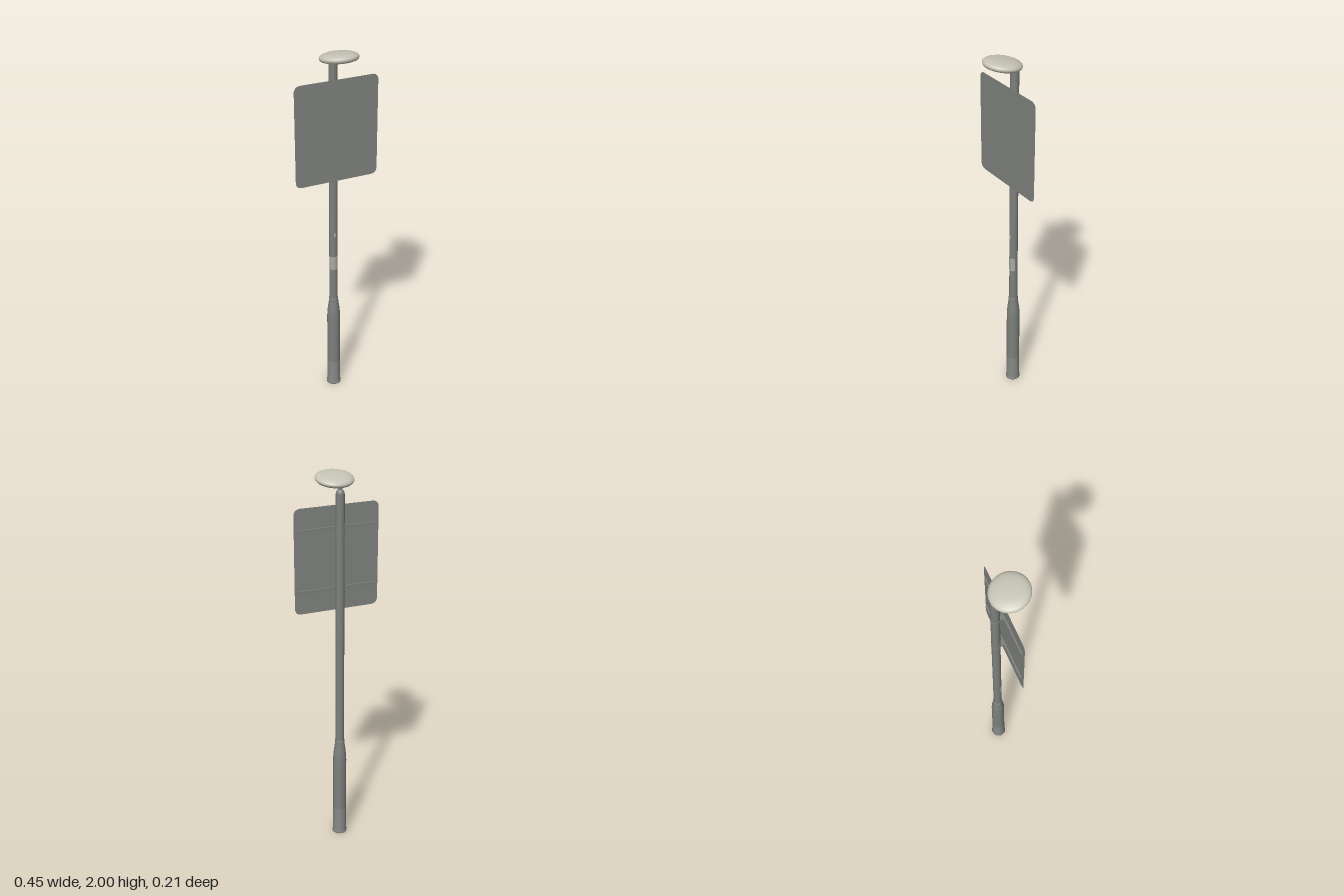
import * as THREE from 'three';

const mat = (name, color, side = THREE.FrontSide) => {
  const m = new THREE.MeshStandardMaterial({ color, side });
  m.name = name;
  return m;
};

export function createModel() {
  const model = new THREE.Group();
  const POLE_Z = -0.065;
  const steel = mat('grey steel', 0x7d807c);
  const baseGrey = mat('light grey base', 0x868985);
  const signGrey = mat('sign grey', 0x7f827d, THREE.DoubleSide);
  const lampPale = mat('pale lamp shell', 0xc6c3b6);
  const lensDark = mat('dark lamp lens', 0x5c5e57);
  const labelPale = mat('pale label', 0xa9aaa3, THREE.DoubleSide);

  const add = (name, geometry, material, x = 0, y = 0, z = 0, parent = model) => {
    const mesh = new THREE.Mesh(geometry, material);
    mesh.name = name;
    mesh.position.set(x, y, z);
    parent.add(mesh);
    return mesh;
  };
  const lathe = (pts, n = 32) =>
    new THREE.LatheGeometry(pts.map(([r, y]) => new THREE.Vector2(r, y)), n);

  // Post: flared foot, wide sleeve, tapered shoulder, slim pole with domed tip
  add('foot', lathe([[0, 0], [0.04, 0], [0.04, 0.004], [0.0365, 0.022], [0.0355, 0.155]]), baseGrey, 0, 0, POLE_Z);
  add('sleeve', lathe([[0.0355, 0.155], [0.0355, 0.45], [0.0345, 0.48], [0.0315, 0.51],
    [0.0265, 0.545], [0.0255, 0.56], [0.0255, 0.572], [0.022, 0.574]]), steel, 0, 0, POLE_Z);
  add('pole', lathe([[0.0225, 0.56], [0.022, 1.915], [0.0195, 1.926], [0.014, 1.934], [0.009, 1.938], [0, 1.938]]), steel, 0, 0, POLE_Z);

  // Sign sheet with rounded corners
  const w = 0.225, h = 0.2725, r = 0.032;
  const s = new THREE.Shape();
  s.moveTo(-w + r, -h);
  s.absarc(w - r, -h + r, r, -Math.PI / 2, 0);
  s.absarc(w - r, h - r, r, 0, Math.PI / 2);
  s.absarc(-w + r, h - r, r, Math.PI / 2, Math.PI);
  s.absarc(-w + r, -h + r, r, Math.PI, Math.PI * 1.5);
  add('signPanel', new THREE.ShapeGeometry(s, 8), signGrey, 0, 1.5775, -0.0205);

  // Two rails, each clamped to the pole by a band
  for (const y of [1.735, 1.42]) {
    const mount = new THREE.Group();
    mount.name = 'signMount';
    mount.position.y = y;
    model.add(mount);
    add('rail', new THREE.BoxGeometry(0.41, 0.018, 0.008), steel, 0, 0, -0.025, mount);
    add('clampBlock', new THREE.BoxGeometry(0.03, 0.014, 0.018), steel, 0, 0, -0.037, mount);
    add('clampBand', new THREE.CylinderGeometry(0.024, 0.024, 0.014, 32), steel, 0, 0, POLE_Z, mount);
  }

  // Pale labels wrapped on the front of the pole
  const label = (name, y, height, arc) => add(name,
    new THREE.CylinderGeometry(0.0229, 0.0229, height, 20, 1, true, -arc / 2, arc), labelPale, 0, y, POLE_Z);
  label('label', 0.8, 0.08, 2.7);
  label('smallPlate', 0.975, 0.024, 0.5);

  // Tilted disc lamp on a short neck
  add('lampNeck', new THREE.CylinderGeometry(0.009, 0.011, 0.03, 20), steel, 0, 1.944, POLE_Z);
  const lamp = new THREE.Group();
  lamp.name = 'lamp';
  lamp.position.set(0, 1.973, 0.007);
  lamp.rotation.x = -0.16;
  model.add(lamp);
  add('lampShell', lathe([[0.076, -0.018], [0.088, -0.014], [0.095, -0.007], [0.0975, 0], [0.095, 0.007],
    [0.087, 0.0135], [0.073, 0.019], [0.054, 0.0225], [0.03, 0.0245], [0, 0.0255]], 48), lampPale, 0, 0, 0, lamp);
  add('lampLens', lathe([[0, -0.022], [0.04, -0.0215], [0.076, -0.018]], 48), lensDark, 0, 0, 0, lamp);

  return model;
}
